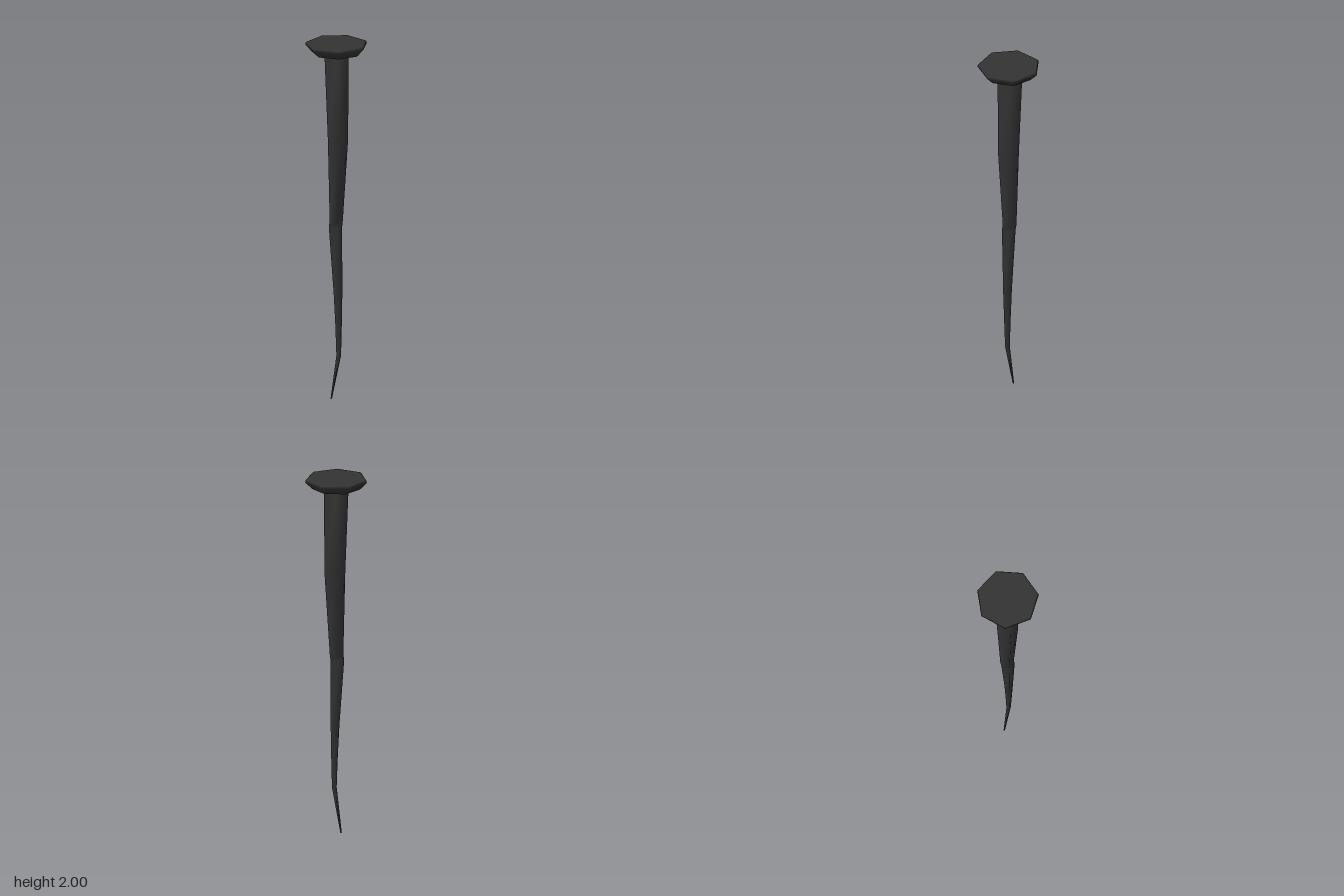
import * as THREE from 'three';

// Skin a stack of equal-sided rings (bottom to top) and cap both ends; shared vertices give smooth normals
function loft(rings) {
  const n = rings[0].length;
  const pos = rings.flat(2);
  const index = [];
  for (let r = 0; r < rings.length - 1; r++) {
    for (let i = 0; i < n; i++) {
      const a = r * n + i, b = r * n + (i + 1) % n;
      index.push(a, b, b + n, a, b + n, a + n);
    }
  }
  const top = (rings.length - 1) * n;
  for (let i = 1; i < n - 1; i++) {
    index.push(0, i + 1, i);
    index.push(top, top + i, top + i + 1);
  }
  const geo = new THREE.BufferGeometry();
  geo.setAttribute('position', new THREE.Float32BufferAttribute(pos, 3));
  geo.setIndex(index);
  geo.computeVertexNormals();
  return geo;
}

// Horizontal polygon ring, counter-clockwise from above
function polygon(sides, radius, y, cx) {
  return Array.from({ length: sides }, (_, i) => {
    const a = (i / sides) * Math.PI * 2;
    return [cx + radius * Math.cos(a), y, -radius * Math.sin(a)];
  });
}

// Horizontal rectangular ring, counter-clockwise from above
function rectangle([y, x0, x1, z0, z1]) {
  return [[x1, y, z1], [x1, y, z0], [x0, y, z0], [x0, y, z1]];
}

export function createModel() {
  const group = new THREE.Group();
  group.name = 'nail';
  const iron = new THREE.MeshStandardMaterial({ color: 0x333333 });

  // Seven-sided head: tapered underside, thin rim, slight top bevel
  const headProfile = [[0.132, 1.943], [0.171, 1.983], [0.168, 1.995], [0.162, 2.0]];
  const head = new THREE.Mesh(loft(headProfile.map(([r, y]) => polygon(7, r, y, -0.008))), iron);
  head.name = 'head';
  group.add(head);

  // Crooked square shank: y, x range, z range, from the bent tip up into the head
  const sections = [
    [0, -0.045, -0.04, -0.003, 0.003],
    [0.25, -0.004, 0.015, -0.009, 0.008],
    [0.43, -0.008, 0.018, -0.012, 0.013],
    [0.6, -0.015, 0.02, -0.014, 0.018],
    [0.97, -0.037, 0.014, -0.021, 0.032],
    [1.0, -0.035, 0.013, -0.029, 0.027],
    [1.45, -0.038, 0.037, -0.044, 0.039],
    [1.95, -0.058, 0.036, -0.052, 0.044],
  ];
  const shank = new THREE.Mesh(loft(sections.map(rectangle)), iron);
  shank.name = 'shank';
  group.add(shank);

  return group;
}
